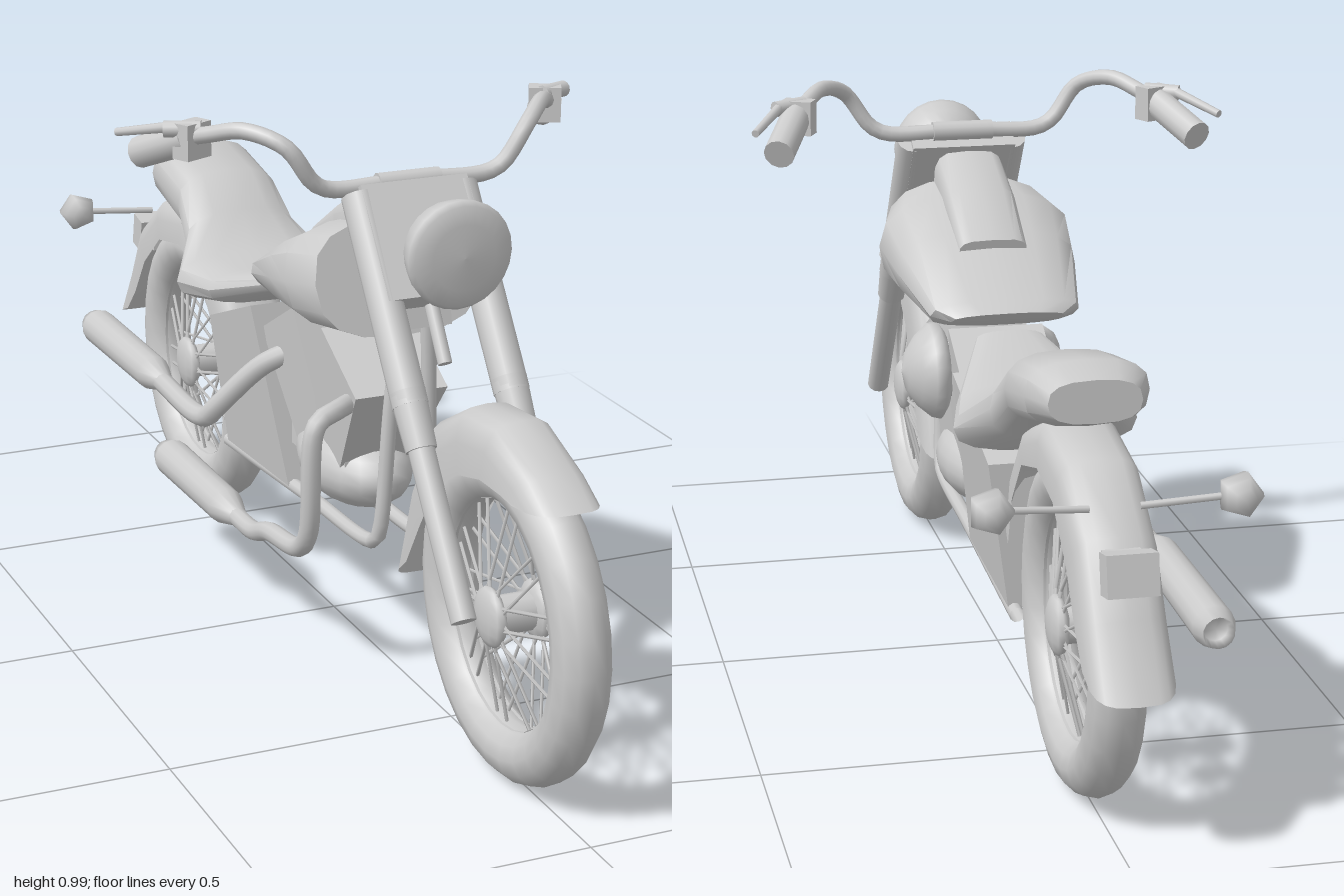
import * as THREE from 'three';
import { toCreasedNormals } from 'three/addons/utils/BufferGeometryUtils.js';

const grey = new THREE.MeshStandardMaterial({ color: 0xcccccc });
const greyDouble = new THREE.MeshStandardMaterial({ color: 0xcccccc, side: THREE.DoubleSide });
const V = (x, y, z) => new THREE.Vector3(x, y, z);

export function createModel() {
  const root = new THREE.Group();

  const add = (name, geometry, parent = root, material = grey) => {
    const mesh = new THREE.Mesh(geometry, material);
    mesh.name = name;
    parent.add(mesh);
    return mesh;
  };

  // Straight round bar from a to b
  const bar = (name, a, b, r1, r2 = r1, sides = 12, parent = root) => {
    const mesh = add(name, new THREE.CylinderGeometry(r2, r1, a.distanceTo(b), sides), parent);
    mesh.position.copy(a).lerp(b, 0.5);
    mesh.quaternion.setFromUnitVectors(V(0, 1, 0), b.clone().sub(a).normalize());
    return mesh;
  };

  // Bent pipe through points
  const pipe = (name, points, r, segments = 28) =>
    add(name, new THREE.TubeGeometry(new THREE.CatmullRomCurve3(points, false, 'centripetal'), segments, r, 10), root, greyDouble);

  // Turned part from [radius, height] pairs
  const turned = (name, profile, sides) =>
    add(name, new THREE.LatheGeometry(profile.map(p => new THREE.Vector2(...p)), sides));

  // Skin over rings of points; closed rings get end caps
  const skin = (name, rings, closed, crease) => {
    const n = rings[0].length, pos = [], idx = [];
    rings.flat().forEach(p => pos.push(p.x, p.y, p.z));
    for (let i = 0; i < rings.length - 1; i++) {
      for (let j = 0; j < (closed ? n : n - 1); j++) {
        const a = i * n + j, b = i * n + (j + 1) % n;
        idx.push(a, b, b + n, a, b + n, a + n);
      }
    }
    if (closed) {
      [0, rings.length - 1].forEach(i => {
        for (let j = 1; j < n - 1; j++) {
          const k = i * n;
          if (i) idx.push(k, k + j, k + j + 1);
          else idx.push(k, k + j + 1, k + j);
        }
      });
    }
    const g = new THREE.BufferGeometry();
    g.setAttribute('position', new THREE.Float32BufferAttribute(pos, 3));
    g.setIndex(idx);
    return add(name, toCreasedNormals(g, crease), root, greyDouble);
  };

  // Rounded body from sections [z, bottom, top, halfWidth], rear to front, with a sloped lean
  const pow = (v, e) => Math.sign(v) * Math.abs(v) ** e;
  const body = (name, sections, lean, e) =>
    skin(name, sections.map(([z, lo, hi, w]) => Array.from({ length: 16 }, (_, j) => {
      const t = j / 16 * Math.PI * 2, s = pow(Math.sin(t), e);
      return V(w * pow(Math.cos(t), e), (lo + hi) / 2 + s * (hi - lo) / 2, z + lean * s);
    })), true, 0.7);

  // Wheels: tyre, rim, hub and crossed spokes
  const wheel = (name, z) => {
    const g = new THREE.Group();
    g.name = name;
    g.position.set(0, 0.277, z);
    root.add(g);
    const tyre = add('tyre', new THREE.TorusGeometry(0.23, 0.047, 12, 28), g);
    tyre.rotation.y = Math.PI / 2;
    const rim = add('rim', new THREE.CylinderGeometry(0.187, 0.187, 0.04, 28, 1, true), g, greyDouble);
    rim.rotation.z = Math.PI / 2;
    bar('hub', V(-0.05, 0, 0), V(0.05, 0, 0), 0.032, 0.032, 12, g);
    [-1, 1].forEach(s => {
      const cap = add('hubFlange', new THREE.SphereGeometry(0.05, 12, 8), g);
      cap.position.x = s * 0.04;
      cap.scale.x = 0.35;
      for (let i = 0; i < 20; i++) {
        const a = (i + s * 0.25) / 20 * Math.PI * 2, b = a + (i % 2 ? 0.38 : -0.38);
        bar('spoke', V(s * 0.04, Math.cos(a) * 0.04, Math.sin(a) * 0.04),
          V(s * 0.008, Math.cos(b) * 0.187, Math.sin(b) * 0.187), 0.0032, 0.0032, 4, g);
      }
    });
  };
  wheel('frontWheel', 0.722);
  wheel('rearWheel', -0.64);

  // Fenders: arched sections [outerZ, outerY, sideEdgeZ, sideEdgeY]
  const fender = (name, sections, w) =>
    skin(name, sections.map(([oz, oy, iz, iy]) => Array.from({ length: 11 }, (_, j) => {
      const t = j / 10 * Math.PI, k = Math.sin(t) ** 0.6;
      return V(w * pow(Math.cos(t), 0.6), iy + (oy - iy) * k, iz + (oz - iz) * k);
    })), false, 1);
  fender('frontFender', [[0.92, 0.515, 0.83, 0.507], [0.86, 0.555, 0.79, 0.51], [0.74, 0.605, 0.72, 0.51],
    [0.62, 0.595, 0.64, 0.49], [0.51, 0.535, 0.56, 0.44], [0.44, 0.41, 0.5, 0.35], [0.385, 0.22, 0.45, 0.27]], 0.062);
  fender('rearFender', [[-0.35, 0.36, -0.4, 0.33], [-0.375, 0.46, -0.43, 0.42], [-0.46, 0.555, -0.5, 0.5], [-0.6, 0.61, -0.61, 0.53],
    [-0.75, 0.585, -0.72, 0.51], [-0.87, 0.5, -0.81, 0.44], [-0.93, 0.39, -0.87, 0.36], [-1.0, 0.28, -0.92, 0.31]], 0.068);

  // Tank with raised console, and stepped seat
  body('fuelTank', [[-0.088, 0.612, 0.645, 0.1], [-0.06, 0.605, 0.662, 0.132], [0.1, 0.605, 0.745, 0.163],
    [0.2, 0.605, 0.79, 0.175], [0.275, 0.61, 0.805, 0.15]], -0.025, 0.75);
  body('tankConsole', [[0.04, 0.67, 0.74, 0.062], [0.15, 0.69, 0.81, 0.065], [0.255, 0.7, 0.855, 0.065]], -0.008, 0.5);
  body('seat', [[-0.715, 0.63, 0.70, 0.075], [-0.66, 0.61, 0.718, 0.1], [-0.52, 0.575, 0.695, 0.1], [-0.45, 0.525, 0.635, 0.11],
    [-0.38, 0.485, 0.575, 0.155], [-0.28, 0.505, 0.572, 0.13], [-0.1, 0.578, 0.612, 0.06]], 0, 0.75);

  // Battery and oil compartment below the seat, narrowing downwards
  const boxShape = new THREE.Shape([[-0.13, 0.55], [-0.37, 0.46], [-0.37, 0.205], [-0.06, 0.22]]
    .map(([z, y]) => new THREE.Vector2(-z, y)));
  const boxGeometry = new THREE.ExtrudeGeometry(boxShape, { depth: 0.2, bevelEnabled: false });
  boxGeometry.translate(0, 0, -0.1);
  const corners = boxGeometry.attributes.position;
  for (let i = 0; i < corners.count; i++) {
    corners.setZ(i, corners.getZ(i) * THREE.MathUtils.mapLinear(corners.getY(i), 0.2, 0.5, 0.6, 1));
  }
  boxGeometry.computeVertexNormals();
  add('sideCompartment', boxGeometry).rotation.y = Math.PI / 2;

  // V engine: two flared cylinders, crankcase and round air cleaner
  [[1, 0.165], [-1, -0.005]].forEach(([s, z]) => {
    const cylinder = new THREE.Group();
    cylinder.name = s > 0 ? 'frontCylinder' : 'rearCylinder';
    cylinder.position.set(0, 0.45, z);
    cylinder.rotation.x = s * 0.5;
    root.add(cylinder);
    const barrel = add('barrel', new THREE.CylinderGeometry(0.12, 0.09, 0.22, 4, 1).toNonIndexed(), cylinder);
    barrel.geometry.rotateY(Math.PI / 4);
    barrel.geometry.computeVertexNormals();
  });
  const crank = add('crankcase', new THREE.SphereGeometry(1, 18, 12));
  crank.position.set(0, 0.32, 0.09);
  crank.scale.set(0.09, 0.074, 0.155);
  const block = add('engineBlock', new THREE.BoxGeometry(0.12, 0.12, 0.24));
  block.position.set(0, 0.37, 0.07);
  bar('airCleanerIntake', V(0.03, 0.495, 0.08), V(0.09, 0.495, 0.08), 0.05);
  const cleaner = turned('airCleaner', [[0, 0], [0.07, 0], [0.088, 0.012], [0.084, 0.028], [0.065, 0.05], [0.035, 0.07], [0, 0.078]], 20);
  cleaner.rotation.z = -Math.PI / 2;
  cleaner.position.set(0.08, 0.495, 0.08);

  // Frame tubes
  [-1, 1].forEach(s => pipe('frameRail', [V(s * 0.02, 0.72, 0.345), V(s * 0.035, 0.5, 0.325), V(s * 0.045, 0.265, 0.303),
    V(s * 0.047, 0.243, 0.285), V(s * 0.05, 0.225, 0), V(s * 0.05, 0.2, -0.39)], 0.013, 40));
  bar('backbone', V(0, 0.74, 0.33), V(0, 0.635, -0.04), 0.018);
  bar('steeringStem', V(0, 0.61, 0.46), V(0, 0.86, 0.3), 0.012);
  const gusset = add('neckGusset', new THREE.BoxGeometry(0.08, 0.11, 0.09));
  gusset.position.set(0, 0.7, 0.345);
  gusset.rotation.x = -0.2;

  // Fork legs; the shroud follows the steering angle
  const rake = Math.atan2(0.42, 0.59);
  [-1, 1].forEach(s => {
    const x = s * 0.09;
    bar('forkSlider', V(x, 0.28, 0.73), V(x, 0.53, 0.552), 0.021, 0.022);
    bar('forkCollar', V(x, 0.51, 0.566), V(x, 0.59, 0.51), 0.026, 0.03);
    bar('forkCover', V(x, 0.57, 0.523), V(x, 0.865, 0.315), 0.03);
  });
  const shroud = add('forkShroud', new THREE.BoxGeometry(0.19, 0.2, 0.058));
  shroud.position.set(0, 0.79, 0.368);
  shroud.rotation.x = -rake;

  // Headlight bowl with domed lens
  const lamp = turned('headlight', [[0, -0.08], [0.03, -0.076], [0.058, -0.06], [0.078, -0.032],
    [0.089, 0], [0.091, 0.014], [0.084, 0.024], [0.055, 0.031], [0, 0.034]], 24);
  lamp.rotation.x = Math.PI / 2 + 0.04;
  lamp.position.set(0, 0.808, 0.497);
  bar('headlightMount', V(0, 0.805, 0.43), V(0, 0.8, 0.36), 0.02);

  // Handlebar, grips, switches and levers
  bar('handlebarClamp', V(-0.055, 0.88, 0.31), V(0.055, 0.88, 0.31), 0.018);
  [-1, 1].forEach(s => {
    pipe('handlebar', [V(0, 0.882, 0.31), V(s * 0.14, 0.88, 0.312), V(s * 0.17, 0.895, 0.315), V(s * 0.215, 0.956, 0.312),
      V(s * 0.265, 0.977, 0.26), V(s * 0.305, 0.962, 0.2), V(s * 0.335, 0.945, 0.145)], 0.014);
    bar('grip', V(s * 0.325, 0.95, 0.165), V(s * 0.373, 0.905, 0.055), 0.027);
    const box = add('switchHousing', new THREE.BoxGeometry(0.055, 0.06, 0.035));
    box.position.set(s * 0.322, 0.947, 0.165);
    box.rotation.y = -s * 0.45;
    bar('leverPivot', V(s * 0.31, 0.967, 0.178), V(s * 0.365, 0.965, 0.15), 0.014);
    bar('lever', V(s * 0.355, 0.969, 0.155), V(s * 0.413, 0.943, 0.055), 0.009, 0.007, 8);
  });

  // Exhausts on the right side
  pipe('frontExhaustPipe', [V(-0.05, 0.48, 0.22), V(-0.12, 0.49, 0.29), V(-0.155, 0.482, 0.305), V(-0.168, 0.46, 0.308),
    V(-0.17, 0.28, 0.29), V(-0.17, 0.238, 0.25), V(-0.17, 0.215, 0.11), V(-0.17, 0.19, 0.04), V(-0.17, 0.187, -0.06)], 0.017, 44);
  pipe('rearExhaustPipe', [V(-0.05, 0.49, -0.04), V(-0.1, 0.45, -0.09), V(-0.16, 0.355, -0.165), V(-0.17, 0.325, -0.2), V(-0.17, 0.32, -0.46)], 0.019);
  const muffler = (name, y, z, length) => {
    const m = turned(name, [[0, 0], [0.017, 0], [0.033, 0.06], [0.035, length - 0.03],
      [0.026, length], [0.02, length - 0.02], [0, length - 0.02]], 14);
    m.rotation.x = -Math.PI / 2 - 0.01;
    m.position.set(-0.17, y, z);
  };
  muffler('upperMuffler', 0.322, -0.42, 0.41);
  muffler('lowerMuffler', 0.187, -0.04, 0.37);

  // Rear lights
  [-1, 1].forEach(s => {
    bar('signalStalk', V(s * 0.04, 0.537, -0.838), V(s * 0.19, 0.548, -0.848), 0.006, 0.006, 8);
    const signal = add('turnSignal', new THREE.SphereGeometry(0.037, 5, 6));
    signal.rotation.x = Math.PI / 2;
    signal.position.set(s * 0.192, 0.548, -0.85);
  });
  const tail = add('tailLight', new THREE.BoxGeometry(0.08, 0.065, 0.045));
  tail.position.set(0, 0.465, -0.932);
  tail.rotation.x = 0.2;
  const bracket = add('tailLightBracket', new THREE.BoxGeometry(0.06, 0.04, 0.07));
  bracket.position.set(0, 0.465, -0.895);

  return root;
}
